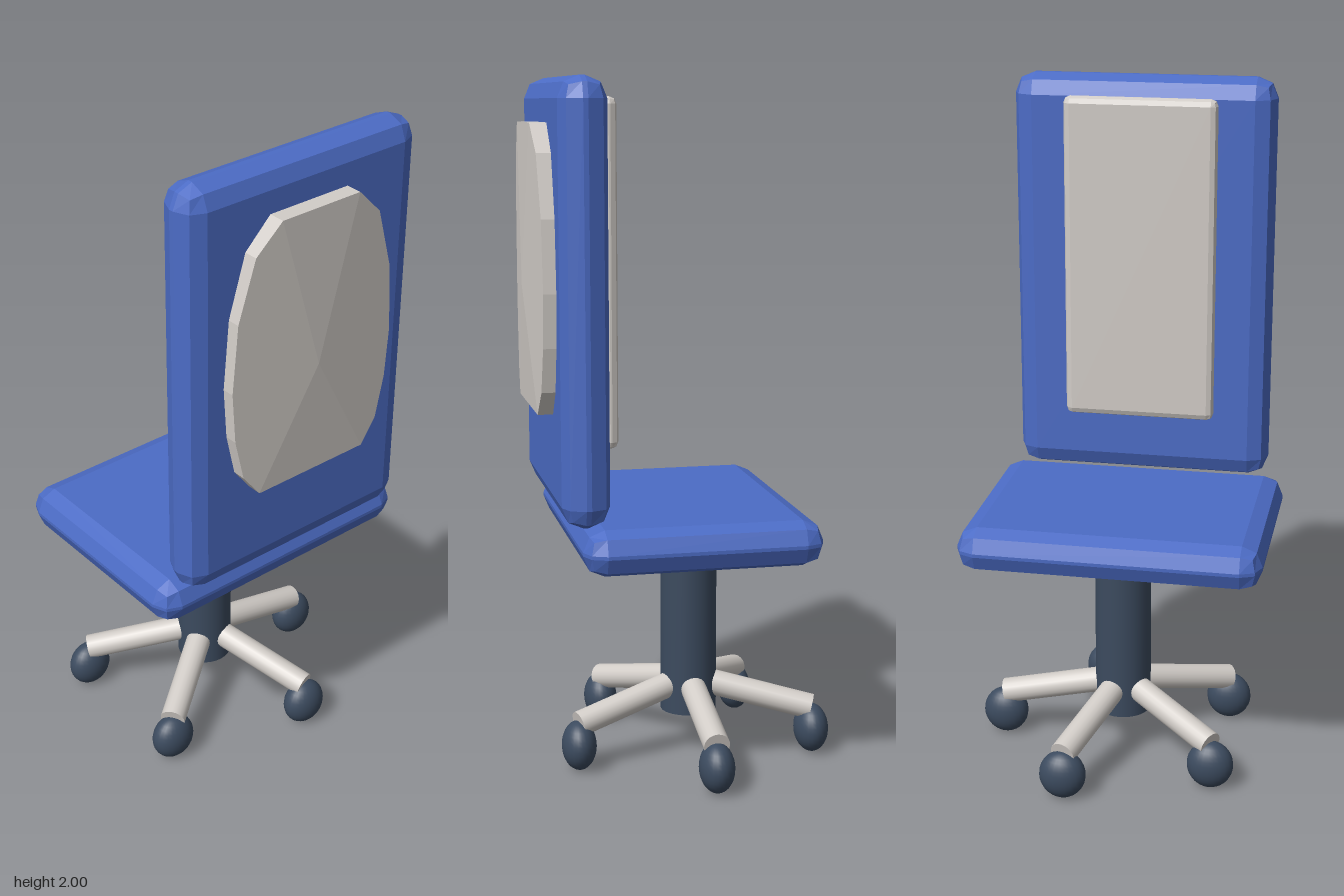
import * as THREE from 'three';
import { RoundedBoxGeometry } from 'three/addons/geometries/RoundedBoxGeometry.js';

const mat = (name, color) => {
  const m = new THREE.MeshStandardMaterial({ color });
  m.name = name;
  return m;
};

export function createModel() {
  const blue = mat('blue upholstery', 0x4c6cc6);
  const grey = mat('light grey', 0xd2cdc8);
  const dark = mat('dark slate', 0x3c4b5f);
  const chair = new THREE.Group();
  chair.name = 'officeChair';

  const add = (name, geometry, material, x, y, z, parent = chair) => {
    const mesh = new THREE.Mesh(geometry, material);
    mesh.name = name;
    mesh.position.set(x, y, z);
    parent.add(mesh);
    return mesh;
  };

  // Box with a two-facet bevel and flat faces
  const bevelBox = (w, h, d, r) => {
    const g = new RoundedBoxGeometry(w, h, d, 1, r);
    g.computeVertexNormals();
    return g;
  };

  // Cushions
  add('seat', bevelBox(0.885, 0.13, 0.68, 0.06), blue, 0, 0.72, 0);
  add('backrest', bevelBox(0.78, 1.22, 0.134, 0.06), blue, 0, 1.39, 0.322);
  add('backrestPad', bevelBox(0.455, 0.97, 0.045, 0.02), grey, 0, 1.46, 0.231);

  // Shallow domed shell on the outside of the backrest
  add('backShell', shellGeometry(), grey, 0, 0, 0);

  // Pedestal with five legs and castors
  const base = new THREE.Group();
  base.name = 'base';
  base.position.z = -0.04;
  chair.add(base);
  add('column', new THREE.CylinderGeometry(0.084, 0.084, 0.54, 32), dark, 0, 0.395, 0, base);

  const reach = 0.372, innerY = 0.222, outerY = 0.137;
  const legLength = Math.hypot(reach, innerY - outerY);
  const legGeometry = new THREE.CylinderGeometry(0.038, 0.038, legLength, 20);
  legGeometry.rotateZ(-Math.PI / 2 - Math.atan2(innerY - outerY, reach));
  legGeometry.translate(reach / 2, (innerY + outerY) / 2, 0);
  const wheelGeometry = new THREE.SphereGeometry(1, 24, 16).scale(0.069, 0.073, 0.051);

  for (let i = 0; i < 5; i++) {
    const a = (i * Math.PI * 2) / 5;
    add('leg', legGeometry, grey, 0, 0, 0, base).rotation.y = a;
    add('castor', wheelGeometry, dark, 0.372 * Math.cos(a), 0.073, -0.372 * Math.sin(a), base);
  }
  return chair;
}

// Faceted outline, mirrored in x, rising to a point in the middle
function shellGeometry() {
  const right = [[0.187, 1.075], [0.24, 1.145], [0.268, 1.27], [0.278, 1.42],
    [0.262, 1.62], [0.21, 1.795], [0.13, 1.875]];
  const outline = [...right, ...right.map(([x, y]) => [-x, y]).reverse()];
  const front = outline.map(([x, y]) => [x, y, 0.425 + 0.022 * (1 - Math.abs(x) / 0.278)]);
  const back = outline.map(([x, y]) => [x, y, 0.38]);
  const centre = [0, 1.42, 0.447];
  const pos = [];
  front.forEach((a, i) => {
    const j = (i + 1) % front.length;
    const b = front[j];
    pos.push(...centre, ...a, ...b);
    pos.push(...back[i], ...back[j], ...b, ...back[i], ...b, ...a);
  });
  const g = new THREE.BufferGeometry();
  g.setAttribute('position', new THREE.Float32BufferAttribute(pos, 3));
  g.computeVertexNormals();
  return g;
}
